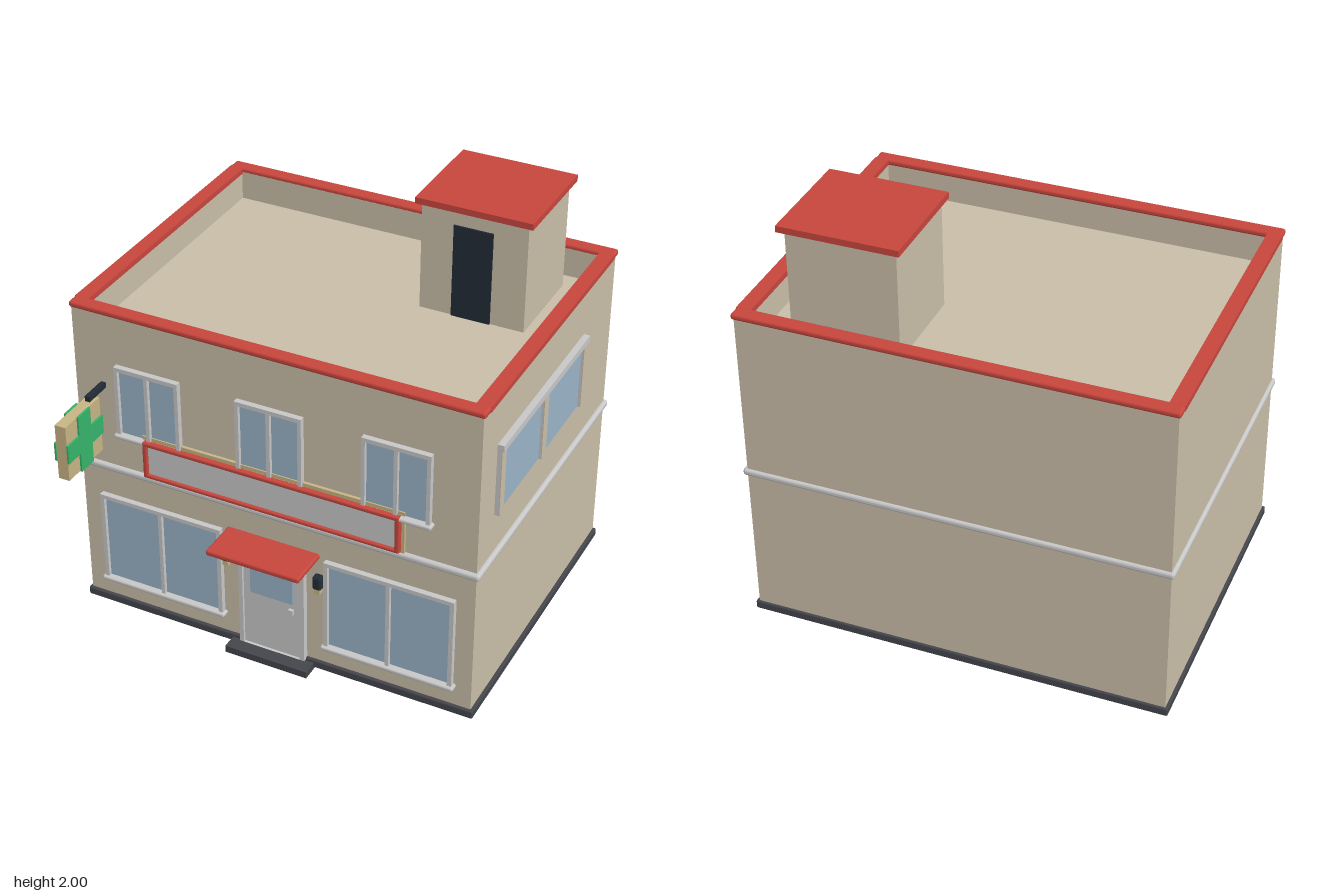
import * as THREE from 'three';
import { RoundedBoxGeometry } from 'three/addons/geometries/RoundedBoxGeometry.js';

const mat = (name, color) => {
  const m = new THREE.MeshStandardMaterial({ color });
  m.name = name;
  return m;
};

export function createModel() {
  const root = new THREE.Group();
  root.name = 'shopBuilding';
  const wall = mat('wall beige', 0xcabea9);
  const red = mat('trim red', 0xc8463d);
  const grey = mat('frame grey', 0xc8c8c8);
  const glass = mat('glass blue', 0x9ab5c9);
  const base = mat('base charcoal', 0x44464c);
  const dark = mat('dark navy', 0x222c36);
  const green = mat('cross green', 0x36b56a);
  const gold = mat('sign tan', 0xc8b584);

  const add = (name, geo, m, parent = root) => {
    const mesh = new THREE.Mesh(geo, m);
    mesh.name = name;
    parent.add(mesh);
    return mesh;
  };
  // Box from its limits; r > 0 rounds the edges
  const box = (name, m, x0, x1, y0, y1, z0, z1, r = 0, parent = root) => {
    const s = [x1 - x0, y1 - y0, z1 - z0];
    const geo = r ? new RoundedBoxGeometry(...s, 2, r) : new THREE.BoxGeometry(...s);
    geo.translate((x0 + x1) / 2, (y0 + y1) / 2, (z0 + z1) / 2);
    return add(name, geo, m, parent);
  };
  const rect = (T, x0, x1, y0, y1) => {
    const s = new T();
    s.moveTo(x0, y0);
    s.lineTo(x1, y0);
    s.lineTo(x1, y1);
    s.lineTo(x0, y1);
    s.closePath();
    return s;
  };
  // Flat frame: outer rectangle with rectangular holes, extruded
  const frame = (outer, holes, depth) => {
    const s = rect(THREE.Shape, ...outer);
    holes.forEach(h => s.holes.push(rect(THREE.Path, ...h)));
    return new THREE.ExtrudeGeometry(s, { depth, bevelEnabled: false });
  };

  const L = -0.98, R = 0.965, F = 0.575, B = -0.915;

  // Main body, parapet and red coping
  box('body', wall, L, R, 0.03, 1.45, B, F);
  const ring = frame([L, R, -F, -B], [[L + 0.055, R - 0.055, -F + 0.055, -B - 0.055]], 0.14);
  ring.rotateX(-Math.PI / 2).translate(0, 1.45, 0);
  add('parapet', ring, wall);
  box('copingFront', red, -0.99, 0.975, 1.58, 1.61, 0.515, 0.583, 0.012);
  box('copingBack', red, -0.99, 0.975, 1.58, 1.61, -0.928, -0.86, 0.012);
  box('copingRight', red, -0.99, -0.922, 1.582, 1.608, -0.87, 0.525);
  box('copingLeft', red, 0.907, 0.975, 1.582, 1.608, -0.87, 0.525);

  // Belt course, plinth and doorstep
  box('beltCourse', grey, -0.995, 0.984, 0.768, 0.802, -0.928, 0.595, 0.014);
  box('plinth', base, -0.993, 0.98, 0.008, 0.05, -0.925, 0.59, 0.008);
  box('doorstep', base, -0.215, 0.2, 0, 0.035, 0.5, 0.665);

  // Roof stair house
  box('stairHouse', wall, 0.275, 0.775, 1.44, 1.975, -0.77, -0.308);
  box('stairHouseRoof', red, 0.25, 0.8, 1.97, 2, -0.8, -0.288);
  box('stairHouseDoor', dark, 0.43, 0.615, 1.45, 1.9, -0.31, -0.3);

  // Two-pane front windows with sills
  const frontWindow = (name, cx, hw, y0, y1, border) => {
    const g = new THREE.Group();
    g.name = name;
    root.add(g);
    const panes = [-1, 1].map(s => s < 0
      ? [cx - hw + border, cx - 0.009, y0 + 0.01, y1 - 0.02]
      : [cx + 0.009, cx + hw - border, y0 + 0.01, y1 - 0.02]);
    add('windowFrame', frame([cx - hw, cx + hw, y0, y1], panes, 0.027), grey, g).position.z = F;
    panes.forEach(p => box('windowPane', glass, ...p, F, F + 0.009, 0, g));
    box('windowSill', grey, cx - hw - 0.012, cx + hw + 0.012, y0 - 0.012, y0 + 0.01, F - 0.01, 0.615, 0.009, g);
  };
  [-0.608, -0.008, 0.593].forEach(x => frontWindow('upperWindow', x, 0.16, 0.988, 1.345, 0.018));
  [-0.572, 0.567].forEach(x => frontWindow('shopWindow', x, 0.312, 0.157, 0.63, 0.02));

  // Side window: panes between posts under a lintel
  box('sideLintel', grey, R - 0.01, 0.995, 1.325, 1.357, -0.562, 0.412);
  [[0.365, 0.412], [-0.105, -0.055], [-0.562, -0.518]].forEach(([a, b]) => {
    box('sidePost', grey, R - 0.01, 0.985, 1, 1.325, a, b);
    box('sidePostFace', wall, 0.985, 0.988, 1, 1.325, a, b);
  });
  [[-0.055, 0.365], [-0.518, -0.105]].forEach(([a, b]) =>
    box('sidePane', glass, R, R + 0.008, 1, 1.325, a, b));

  // Entrance door and canopy
  add('doorFrame', frame([-0.17, 0.16, 0.04, 0.587], [[-0.15, 0.135, 0.04, 0.562]], 0.03), grey).position.z = F;
  box('doorLeaf', grey, -0.15, 0.135, 0.04, 0.562, F, 0.592);
  box('doorGlass', glass, -0.115, 0.1, 0.335, 0.525, 0.592, 0.596);
  box('doorHandle', grey, 0.08, 0.103, 0.28, 0.308, 0.592, 0.606);
  box('canopy', red, -0.235, 0.224, 0.62, 0.648, F - 0.01, 0.775, 0.01);

  // Wall lamps beside the door
  [-0.238, 0.224].forEach(x => {
    box('lampShade', dark, x - 0.022, x + 0.022, 0.47, 0.54, F - 0.01, 0.61, 0.012);
    box('lampBulb', gold, x - 0.014, x + 0.014, 0.445, 0.472, F, 0.602);
  });

  // Blank shop sign with red rails
  box('signBacking', gold, -0.645, 0.635, 0.803, 1.016, F, 0.59);
  box('signPanel', grey, -0.62, 0.607, 0.82, 0.985, 0.59, 0.602);
  [[0.81, 0.83], [0.978, 1]].forEach(([a, b]) =>
    box('signRail', red, -0.635, 0.622, a, b, 0.588, 0.616, 0.008));
  [[-0.635, -0.612], [0.598, 0.622]].forEach(([a, b]) =>
    box('signRail', red, a, b, 0.81, 1, 0.588, 0.616, 0.008));

  // Projecting cross sign on a bracket
  box('crossBoard', gold, -0.867, -0.813, 0.932, 1.208, 0.656, 0.929);
  [[-0.876, -0.867], [-0.813, -0.804]].forEach(([a, b]) => {
    box('crossUpright', green, a, b, 0.928, 1.212, 0.745, 0.84);
    box('crossArm', green, a, b, 1.024, 1.116, 0.652, 0.745);
    box('crossArm', green, a, b, 1.024, 1.116, 0.84, 0.933);
  });
  box('signBracket', dark, -0.852, -0.828, 1.208, 1.234, F - 0.01, 0.71);

  return root;
}
